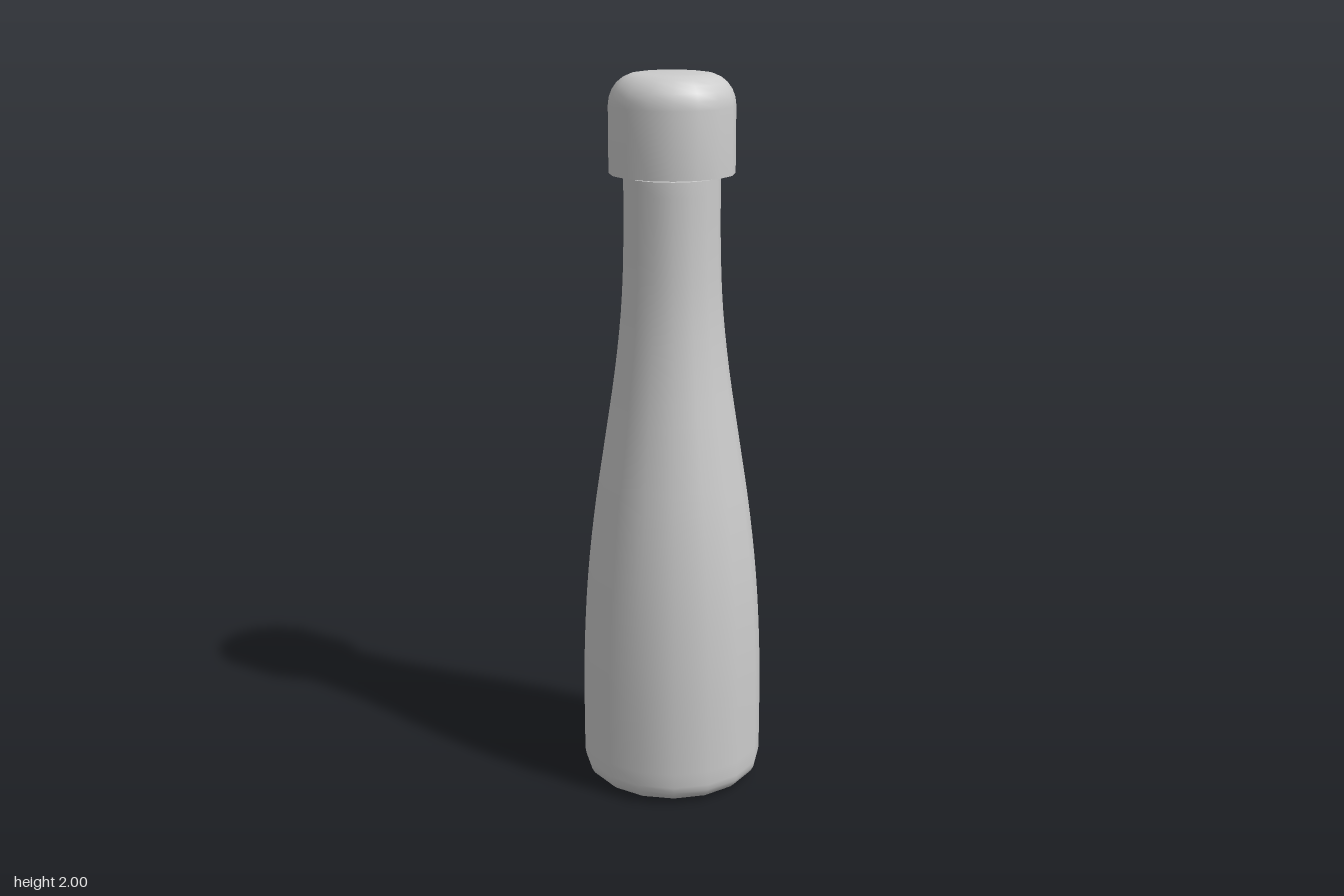
import * as THREE from 'three';
import { toCreasedNormals } from 'three/addons/utils/BufferGeometryUtils.js';

const SIDES = 16;
const TURN = THREE.MathUtils.degToRad(7.4);
const material = new THREE.MeshStandardMaterial({ color: 0xcccccc });

// Quarter-round corner points between two angles
function corner(cx, cy, rx, ry, from, to, steps = 5) {
  return Array.from({ length: steps + 1 }, (_, i) => {
    const a = from + ((to - from) * i) / steps;
    return new THREE.Vector2(cx + rx * Math.cos(a), cy + ry * Math.sin(a));
  });
}

// Turned part from a bottom-to-top profile
function turned(name, points) {
  const lathe = new THREE.LatheGeometry(points, SIDES, TURN);
  const mesh = new THREE.Mesh(toCreasedNormals(lathe, 0.65), material);
  mesh.name = name;
  return mesh;
}

export function createModel() {
  const group = new THREE.Group();
  group.name = 'bottle';
  const v = (x, y) => new THREE.Vector2(x, y);

  // Body: rounded base, full belly, long tapering neck
  const side = new THREE.SplineCurve([
    v(0.2545, 0.06), v(0.2545, 0.22), v(0.251, 0.4), v(0.239, 0.6),
    v(0.217, 0.8), v(0.187, 1.0), v(0.157, 1.2), v(0.138, 1.38),
    v(0.131, 1.55), v(0.13, 1.73),
  ]);
  group.add(turned('body', [
    v(0, 0),
    ...corner(0.195, 0.055, 0.0595, 0.055, -Math.PI / 2, 0),
    ...side.getPoints(30).slice(1),
    v(0, 1.73),
  ]));

  // Narrow stem joining neck and cap
  group.add(turned('stem', [v(0.08, 1.72), v(0.08, 1.75)]));

  // Cap: straight skirt with a rounded top
  group.add(turned('cap', [
    v(0, 1.738), v(0.169, 1.738),
    ...corner(0.09, 1.915, 0.079, 0.085, 0, Math.PI / 2, 6),
    v(0, 2),
  ]));

  return group;
}
